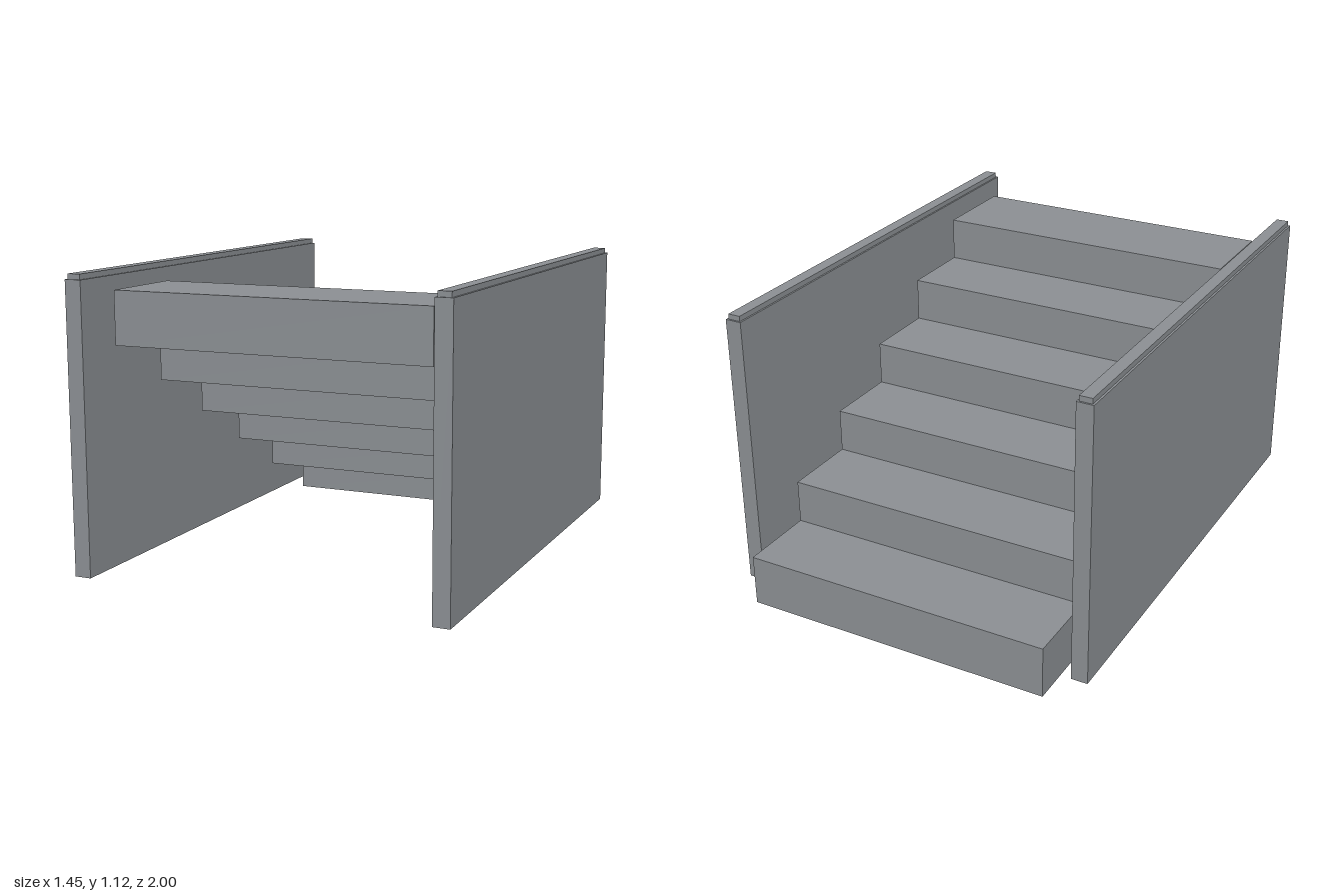
import * as THREE from 'three';

export function createModel() {
  const model = new THREE.Group();
  model.name = 'staircase';
  const concrete = new THREE.MeshStandardMaterial({ color: 0x8c9094 });
  concrete.name = 'concrete grey';

  // Box given by its lower and upper limits on each axis
  function box(name, [x0, x1], [y0, y1], [z0, z1]) {
    const mesh = new THREE.Mesh(new THREE.BoxGeometry(x1 - x0, y1 - y0, z1 - z0), concrete);
    mesh.position.set((x0 + x1) / 2, (y0 + y1) / 2, (z0 + z1) / 2);
    mesh.name = name;
    model.add(mesh);
  }

  // Six overlapping block steps, climbing from back to front
  for (let i = 0; i < 6; i++) {
    const y = i * 0.171, z = -1 + i * 0.302;
    box(`step${i + 1}`, [-0.61, 0.61], [y, y + 0.2], [z, z + 0.36]);
  }

  // Side walls, each with a slightly narrower coping on top
  for (const [side, s] of [['left', 1], ['right', -1]]) {
    const span = (a, b) => (s > 0 ? [a, b] : [-b, -a]);
    box(`${side}Wall`, span(0.662, 0.726), [0.018, 1.1], [-0.885, 1]);
    box(`${side}Coping`, span(0.669, 0.718), [1.1, 1.12], [-0.878, 0.993]);
  }
  return model;
}
